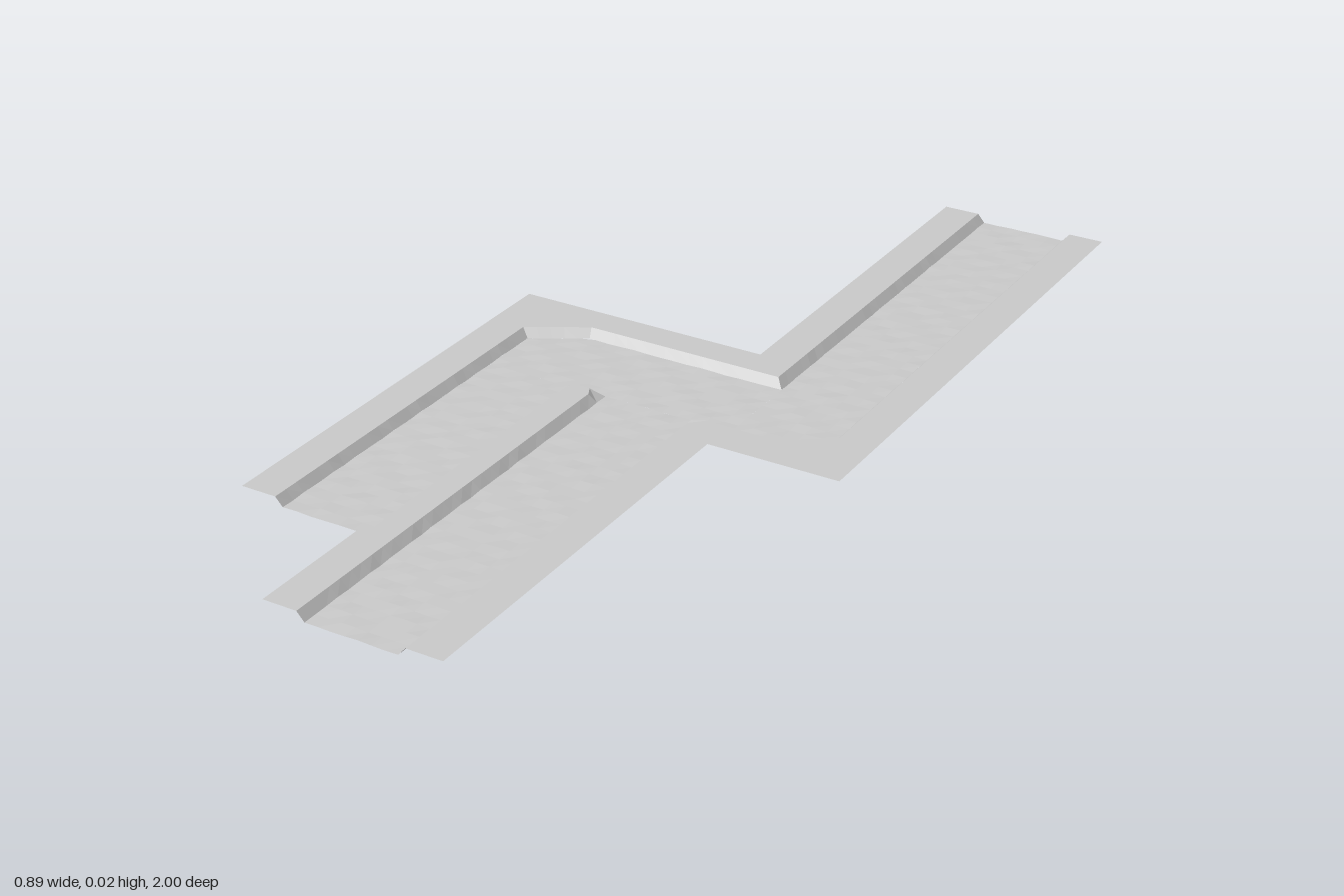
import * as THREE from 'three';

const BANK_Y = 0.02;
const material = new THREE.MeshStandardMaterial({
  color: 0xcccccc, side: THREE.DoubleSide, flatShading: true,
});

// Gentle unevenness of the channel bed
const bedY = (x, z) =>
  0.003 + 0.001 * Math.sin(x * 61 + 2 * Math.sin(z * 13)) * Math.sin(z * 83 + x * 17);

function add(group, name, geometry) {
  const mesh = new THREE.Mesh(geometry, material);
  mesh.name = name;
  group.add(mesh);
}

// Flat bank from an outline of [x, z] points
function bank(points) {
  const shape = new THREE.Shape(points.map(([x, z]) => new THREE.Vector2(x, -z)));
  return new THREE.ShapeGeometry(shape).rotateX(-Math.PI / 2).translate(0, BANK_Y, 0);
}

// Bed rectangle with cut outer corners where the channel bends
function bed(x0, x1, z0, z1) {
  const w = x1 - x0, d = z1 - z0;
  const g = new THREE.PlaneGeometry(w, d, Math.ceil(w / 0.03), Math.ceil(d / 0.03));
  g.rotateX(-Math.PI / 2).translate((x0 + x1) / 2, 0, (z0 + z1) / 2);
  const p = g.attributes.position;
  for (let i = 0; i < p.count; i++) {
    const x = p.getX(i);
    let z = p.getZ(i);
    if (x < -0.25 && z < 0) z = Math.max(z, -0.1 + (-0.25 - x) * 0.57);
    if (x > 0.27 && z > 0) z = Math.min(z, 0.09 - (x - 0.27) * 0.7);
    p.setXYZ(i, x, bedY(x, z), z);
  }
  g.computeVertexNormals();
  return g;
}

// Sloping side between the bed edge and the bank edge
function slope(low, high) {
  const pos = [], index = [];
  for (let i = 0; i < low.length - 1; i++) {
    const len = Math.hypot(low[i + 1][0] - low[i][0], low[i + 1][1] - low[i][1]);
    const n = Math.max(1, Math.ceil(len / 0.03));
    for (let k = 0; k <= n; k++) {
      const mix = (path, c) => THREE.MathUtils.lerp(path[i][c], path[i + 1][c], k / n);
      const x = mix(low, 0), z = mix(low, 1);
      const v = pos.length / 3;
      pos.push(x, bedY(x, z), z, mix(high, 0), BANK_Y, mix(high, 1));
      if (k < n) index.push(v, v + 1, v + 2, v + 1, v + 3, v + 2);
    }
  }
  const g = new THREE.BufferGeometry();
  g.setAttribute('position', new THREE.Float32BufferAttribute(pos, 3));
  g.setIndex(index);
  g.computeVertexNormals();
  return g;
}

export function createModel() {
  const group = new THREE.Group();
  group.name = 'channelSection';

  // Channel bed: back arm, cross arm and the two front arms
  add(group, 'backBed', bed(0.175, 0.355, -1, 0.09));
  add(group, 'crossBed', bed(-0.355, 0.175, -0.1, 0.09));
  add(group, 'sideBed', bed(-0.355, -0.175, 0.09, 0.725));
  add(group, 'frontBed', bed(-0.095, 0.09, 0.09, 1));

  // Bank edges, each running along one side of the channel
  const outerLow = [[-0.355, 0.725], [-0.355, -0.04], [-0.25, -0.1], [0.175, -0.1], [0.175, -1]];
  const outerHigh = [[-0.37, 0.725], [-0.37, -0.048], [-0.255, -0.115], [0.16, -0.115], [0.16, -1]];
  const innerLow = [[0.355, -1], [0.355, 0.03], [0.27, 0.09], [0.09, 0.09], [0.09, 0.12], [0.09, 1]];
  const innerHigh = [[0.37, -1], [0.37, 0.038], [0.275, 0.105], [0.13, 0.105], [0.105, 0.13], [0.105, 1]];
  const midLow = [[-0.175, 0.725], [-0.175, 0.12], [-0.175, 0.09], [-0.095, 0.09], [-0.095, 0.12], [-0.095, 1]];
  const midHigh = [[-0.162, 0.725], [-0.162, 0.125], [-0.152, 0.105], [-0.12, 0.105], [-0.11, 0.125], [-0.11, 1]];

  add(group, 'outerSlope', slope(outerLow, outerHigh));
  add(group, 'innerSlope', slope(innerLow, innerHigh));
  add(group, 'middleSlope', slope(midLow, midHigh));

  // Flat banks, closed along the outer border
  add(group, 'outerBank', bank([...outerHigh, [0.085, -1], [0.085, -0.18], [-0.443, -0.18], [-0.443, 0.725]]));
  add(group, 'innerBank', bank([...innerHigh, [0.177, 1], [0.177, 0.18], [0.443, 0.18], [0.443, -1]]));
  add(group, 'middleBank', bank([...midHigh, [-0.179, 1], [-0.179, 0.725]]));
  return group;
}
